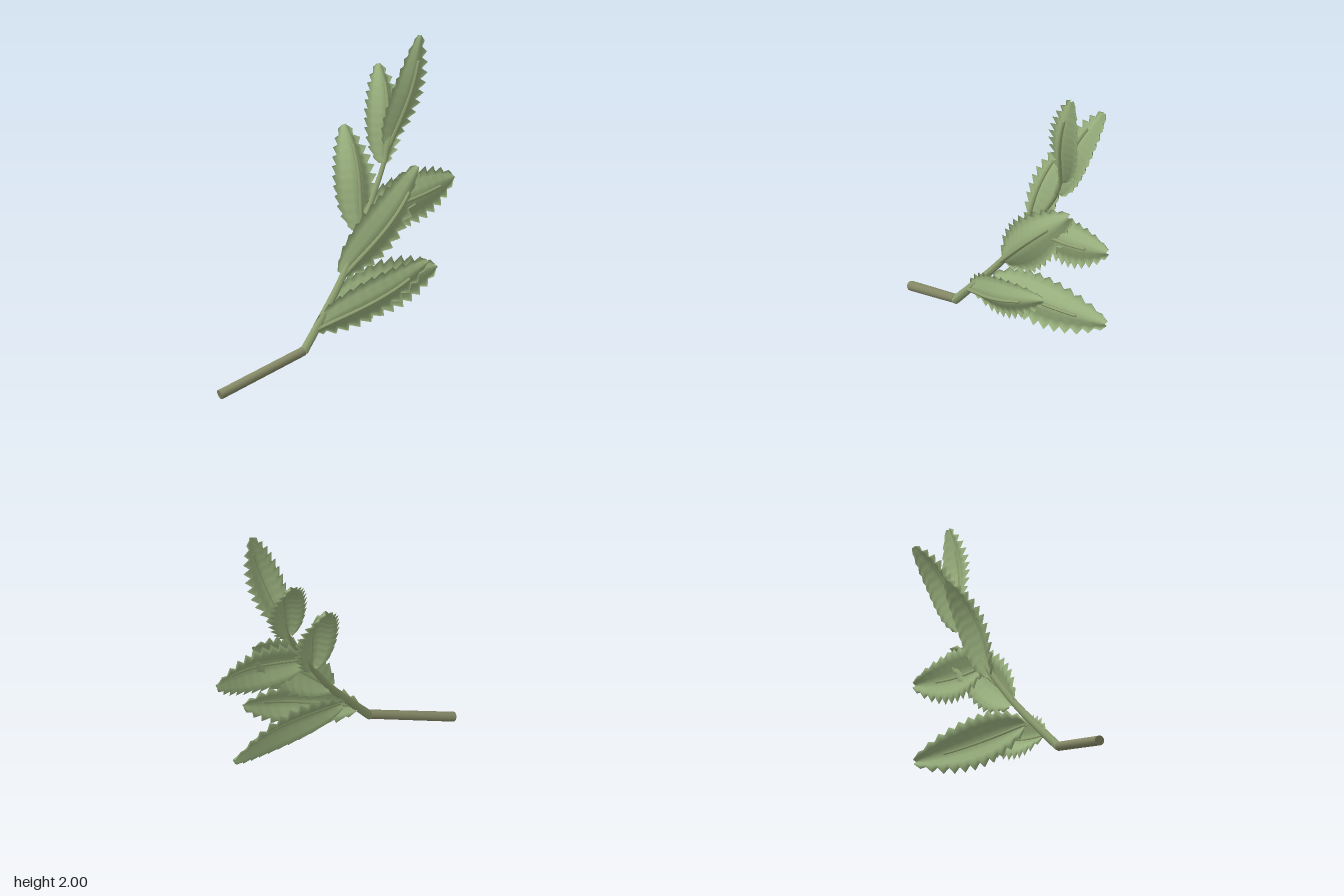
import * as THREE from 'three';

const leafGreen = new THREE.MeshStandardMaterial({ color: 0x97ae7c, side: THREE.DoubleSide });
leafGreen.name = 'leaf green';
const stemGreen = new THREE.MeshStandardMaterial({ color: 0x8e9f70 });
stemGreen.name = 'stem green';
const barkOlive = new THREE.MeshStandardMaterial({ color: 0x868966 });
barkOlive.name = 'bark olive';

const V = (a) => new THREE.Vector3(...a);
const TEETH = 11, ROWS = TEETH * 2;
// Cross-section: position across the half width, and drop below the midrib crest (the rim flares back up)
const ACROSS = [-1, -0.84, -0.6, -0.3, 0, 0.3, 0.6, 0.84, 1];
const DROP = [0.72, 1, 0.75, 0.25, 0, 0.25, 0.75, 1, 0.72];

// Each leaf: base and tip of the crest, upper-side normal, half width, bulge, cross-section depth
const LEAVES = [
  { name: 'topLeaf', base: [-0.02, 1.33, -0.44], tip: [0.075, 2.0, -0.62], normal: [1, 0, 0], width: 0.118, bulge: 0.045, depth: 0.045 },
  { name: 'upperRightLeaf', base: [-0.015, 1.24, -0.4], tip: [-0.235, 1.78, -0.57], normal: [0.88, 0.42, 0.12], width: 0.125, bulge: 0.055, depth: 0.06 },
  { name: 'middleRightLeaf', base: [0.025, 0.87, -0.17], tip: [-0.225, 1.46, -0.28], normal: [0.88, 0.42, 0.15], width: 0.14, bulge: 0.06, depth: 0.075 },
  { name: 'middleLeftLeaf', base: [0.055, 0.63, 0.0], tip: [0.075, 1.19, -0.6], normal: [1, 0, 0], width: 0.16, bulge: 0.07, depth: 0.065 },
  { name: 'middleBackLeaf', base: [0.02, 0.95, -0.22], tip: [0.055, 1.07, -0.91], normal: [1, 0.1, 0], width: 0.155, bulge: 0.055, depth: 0.055 },
  { name: 'lowerLeftLeaf', base: [0.09, 0.35, 0.25], tip: [0.235, 0.65, -0.53], normal: [1, -0.1, 0], width: 0.13, bulge: 0.06, depth: 0.055 },
  { name: 'lowerBackLeaf', base: [0.055, 0.46, 0.1], tip: [-0.01, 0.52, -0.83], normal: [1, 0.25, 0], width: 0.15, bulge: 0.05, depth: 0.055 },
];

// Tube whose radius tapers from r0 to r1, with capped ends
function taperedTube(curve, segments, r0, r1, sides) {
  const geo = new THREE.TubeGeometry(curve, segments, 1, sides);
  const pos = geo.attributes.position, p = new THREE.Vector3();
  for (let i = 0; i <= segments; i++) {
    const c = curve.getPointAt(i / segments);
    for (let j = 0; j <= sides; j++) {
      const k = i * (sides + 1) + j;
      p.fromBufferAttribute(pos, k).sub(c).multiplyScalar(r0 + (r1 - r0) * i / segments).add(c);
      pos.setXYZ(k, p.x, p.y, p.z);
    }
  }
  geo.computeVertexNormals();
  return geo;
}

// Arched, serrated, gently corrugated blade with a raised midrib
function makeLeaf({ name, base, tip, normal, width, bulge, depth }) {
  const b = V(base), d = V(tip).sub(b), length = d.length();
  d.normalize();
  const n = V(normal);
  n.addScaledVector(d, -n.dot(d)).normalize();
  const s = new THREE.Vector3().crossVectors(d, n);
  const crest = (t) => b.clone().addScaledVector(d, length * t)
    .addScaledVector(n, bulge * Math.sin(Math.PI * Math.pow(t, 1.15)));

  const pts = [], idx = [], cols = ACROSS.length;
  for (let i = 0; i <= ROWS; i++) {
    const t = i / ROWS;
    const shape = Math.pow(Math.max(0, Math.sin(Math.PI * Math.pow(0.02 + t * 0.965, 0.85))), 0.65);
    const tooth = i % 2 ? 1 : -1;
    ACROSS.forEach((a, j) => {
      const edge = a * a;
      const w = width * shape + tooth * 0.017 * edge * Math.min(1, shape * 1.5);
      const h = -depth * DROP[j] * (0.3 + 0.7 * shape) + tooth * 0.008 * edge * shape;
      // Teeth sweep forward towards the tip
      const lean = tooth * 0.01 * edge * edge * shape;
      const p = crest(t).addScaledVector(s, a * w).addScaledVector(n, h).addScaledVector(d, lean);
      pts.push(p.x, p.y, p.z);
      if (i < ROWS && j < cols - 1) {
        const k = i * cols + j;
        idx.push(k, k + 1, k + cols, k + 1, k + cols + 1, k + cols);
      }
    });
  }
  const geo = new THREE.BufferGeometry();
  geo.setAttribute('position', new THREE.Float32BufferAttribute(pts, 3));
  geo.setIndex(idx);
  geo.computeVertexNormals();
  const blade = new THREE.Mesh(geo, leafGreen);
  blade.name = 'blade';

  const path = [];
  for (let i = 0; i <= 8; i++) path.push(crest(0.78 * i / 8).addScaledVector(n, 0.005));
  const curve = new THREE.CatmullRomCurve3(path);
  const rib = new THREE.Mesh(taperedTube(curve, 16, 0.013, 0.01, 8), stemGreen);
  rib.name = 'midrib';
  const ribEnd = new THREE.Mesh(new THREE.SphereGeometry(0.01, 8, 6), stemGreen);
  ribEnd.position.copy(path[8]);
  ribEnd.name = 'midribEnd';

  const leaf = new THREE.Group();
  leaf.name = name;
  leaf.add(blade, rib, ribEnd);
  return leaf;
}

export function createModel() {
  const plant = new THREE.Group();
  plant.name = 'leafySprig';

  // Woody lower stalk
  const foot = V([-0.06, 0.035, 0.905]), joint = V([0.09, 0.235, 0.36]);
  const axis = joint.clone().sub(foot);
  const stalk = new THREE.Mesh(new THREE.CylinderGeometry(0.028, 0.03, axis.length(), 16), barkOlive);
  stalk.position.copy(foot).add(joint).multiplyScalar(0.5);
  stalk.quaternion.setFromUnitVectors(new THREE.Vector3(0, 1, 0), axis.normalize());
  stalk.name = 'lowerStalk';
  plant.add(stalk);

  // Green upper stem
  const stemPath = new THREE.CatmullRomCurve3([
    [0.09, 0.225, 0.365], [0.08, 0.36, 0.24], [0.055, 0.62, 0.01],
    [0.025, 0.87, -0.17], [-0.005, 1.1, -0.32], [-0.02, 1.24, -0.4], [-0.018, 1.4, -0.45],
  ].map(V));
  const stem = new THREE.Mesh(taperedTube(stemPath, 32, 0.027, 0.013, 12), stemGreen);
  stem.name = 'upperStem';
  plant.add(stem);

  LEAVES.forEach((leaf) => plant.add(makeLeaf(leaf)));
  return plant;
}
